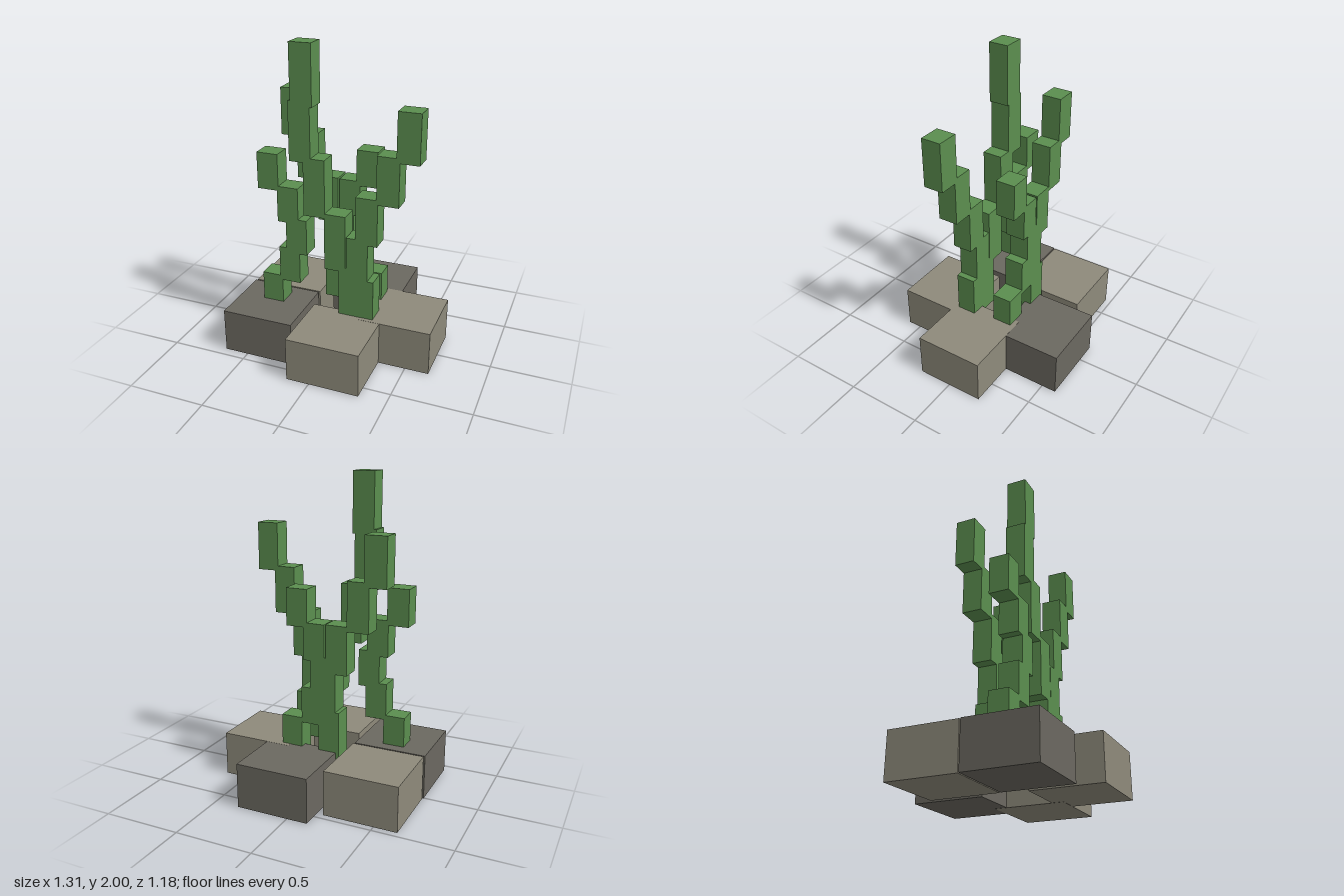
import * as THREE from 'three';

const green = new THREE.MeshStandardMaterial({ color: 0x5b8e4f });
green.name = 'cactusGreen';
const lightStone = new THREE.MeshStandardMaterial({ color: 0x8e8a7b });
lightStone.name = 'lightStone';
const darkStone = new THREE.MeshStandardMaterial({ color: 0x6b6860 });
darkStone.name = 'darkStone';

function box(name, material, w, h, d, x, y, z) {
  const mesh = new THREE.Mesh(new THREE.BoxGeometry(w, h, d), material);
  mesh.name = name;
  mesh.position.set(x, y, z);
  return mesh;
}

// A stem is a stack of slightly overlapping segments, each shifted sideways.
function stem(name, z, step, lefts) {
  const width = 0.14, depth = 0.127, bottom = 0.245, overlap = 0.03;
  const group = new THREE.Group();
  group.name = name;
  lefts.forEach((left, i) => {
    const h = step + overlap;
    group.add(box(`${name}Segment${i + 1}`, green, width, h, depth,
      left + width / 2, bottom + i * step + h / 2, z));
  });
  return group;
}

export function createModel() {
  const model = new THREE.Group();
  model.name = 'blockCactus';

  // Ring of stone slabs: centre x, centre z, material, inset against coplanar overlap
  const base = new THREE.Group();
  base.name = 'stoneBase';
  [
    ['backRightStone', -0.413, -0.238, lightStone, 0],
    ['backLeftStone', 0.102, -0.372, darkStone, 0.001],
    ['leftStone', 0.417, -0.003, lightStone, 0],
    ['frontRightStone', -0.42, 0.217, darkStone, 0],
    ['frontStone', 0.088, 0.368, lightStone, 0.001],
  ].forEach(([name, x, z, mat, inset]) =>
    base.add(box(name, mat, 0.472, 0.288 - 2 * inset, 0.445, x, 0.144, z)));
  model.add(base);

  // Front row
  const front = 0.128, back = -0.131;
  model.add(stem('tallStem', front, 0.345, [0.04, -0.055, -0.19, -0.28, -0.265]));
  model.add(stem('leftStem', front, 0.277, [0.13, 0.09, 0.15, 0.28, 0.398]));
  model.add(stem('rightStem', front, 0.207, [-0.49, -0.365, -0.315, -0.37, -0.5]));

  // Back row
  model.add(stem('backRightStem', back, 0.277, [-0.155, -0.13, -0.205, -0.345, -0.452]));
  model.add(stem('backLeftStem', back, 0.207, [0.1, -0.04, -0.1, -0.055, 0.06]));

  return model;
}
